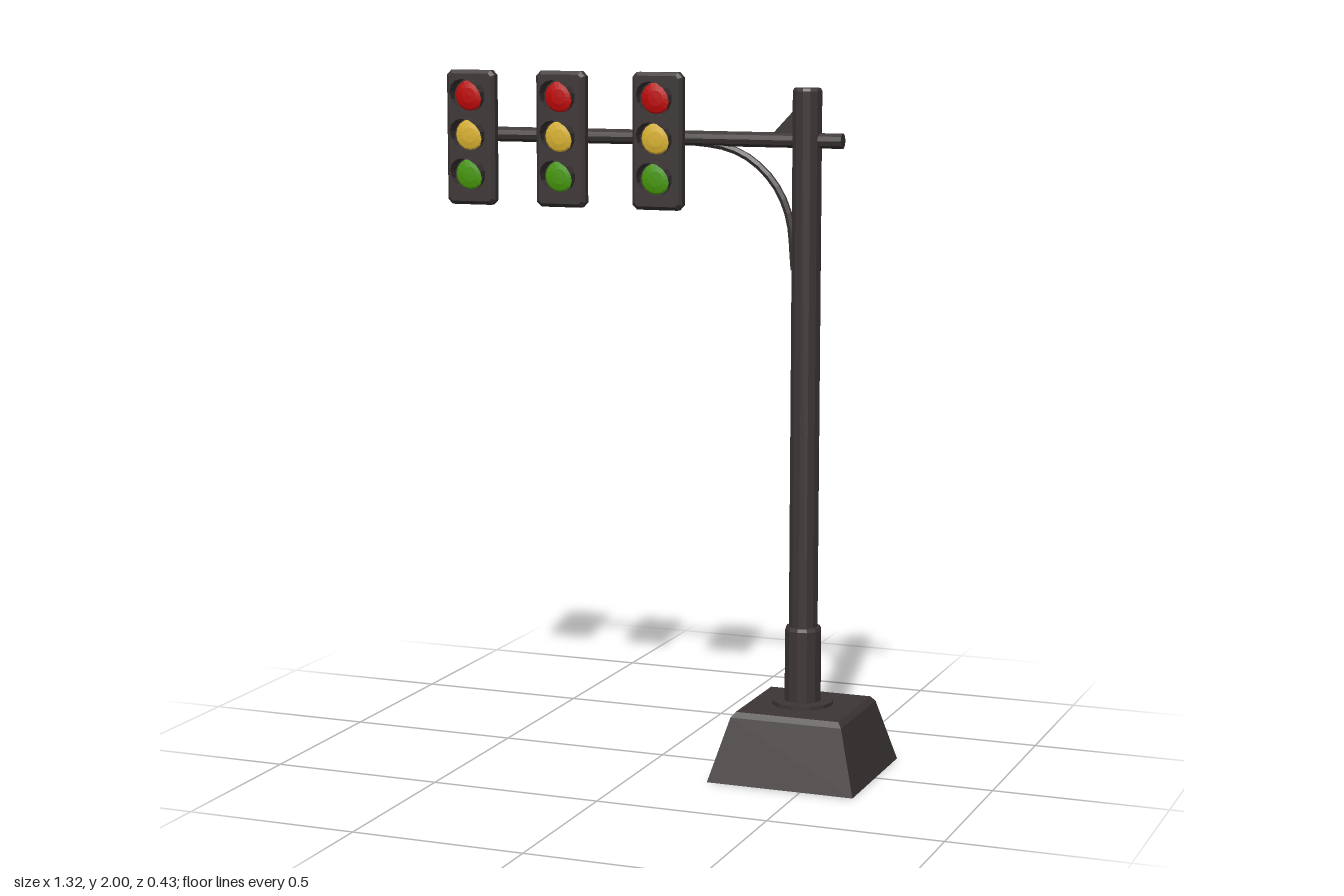
import * as THREE from 'three';

export function createModel() {
  const model = new THREE.Group();
  model.name = 'trafficLight';

  const mat = (name, color, extra = {}) => {
    const m = new THREE.MeshStandardMaterial({ color, flatShading: true, ...extra });
    m.name = name;
    return m;
  };
  const dark = mat('dark metal', 0x3d3636, { side: THREE.DoubleSide });
  const lampColours = [
    ['red', mat('red lens', 0xc00808)],
    ['yellow', mat('yellow lens', 0xdcb432)],
    ['green', mat('green lens', 0x48990c)],
  ];

  const add = (parent, name, geometry, material, x = 0, y = 0, z = 0) => {
    const mesh = new THREE.Mesh(geometry, material);
    mesh.name = name;
    mesh.position.set(x, y, z);
    parent.add(mesh);
    return mesh;
  };
  const lathe = (points, sides) =>
    new THREE.LatheGeometry(points.map(([r, y]) => new THREE.Vector2(r, y)), sides);

  const poleX = 0.43, poleZ = -0.012, beamY = 1.814;

  // Square tapered footing with a bevelled top edge
  const d = Math.SQRT2;
  const footing = lathe([[0, 0], [0.217 * d, 0], [0.165 * d, 0.182], [0.153 * d, 0.197], [0, 0.197]], 4);
  footing.rotateY(Math.PI / 4);
  add(model, 'footing', footing, dark, 0.438, 0, 0);

  // Flange, sleeve and pole
  add(model, 'flange', new THREE.CylinderGeometry(0.09, 0.09, 0.012, 12), dark, poleX, 0.202, poleZ);
  add(model, 'sleeve', lathe([[0.053, 0.2], [0.053, 0.415], [0.049, 0.425], [0.04, 0.425]], 12),
    dark, poleX, 0, poleZ);
  add(model, 'pole', lathe([[0.042, 0.2], [0.042, 1.952], [0.038, 1.96], [0, 1.96]], 12),
    dark, poleX, 0, poleZ);

  // Horizontal beam
  const beam = new THREE.CylinderGeometry(0.022, 0.022, 1.19, 10);
  beam.rotateZ(Math.PI / 2);
  add(model, 'beam', beam, dark, -0.06, beamY, poleZ);

  // Curved brace under the beam
  const braceCurve = new THREE.CatmullRomCurve3(
    [[0.06, 1.806], [0.19, 1.79], [0.265, 1.757], [0.335, 1.69], [0.378, 1.6], [0.395, 1.45]]
      .map(([x, y]) => new THREE.Vector3(x, y, poleZ)));
  add(model, 'brace', new THREE.TubeGeometry(braceCurve, 14, 0.011, 6), dark);

  // Triangular gusset above the beam
  const gussetShape = new THREE.Shape();
  gussetShape.moveTo(0.325, 1.825);
  gussetShape.lineTo(0.4, 1.825);
  gussetShape.lineTo(0.4, 1.905);
  gussetShape.closePath();
  add(model, 'gusset', new THREE.ExtrudeGeometry(gussetShape, { depth: 0.02, bevelEnabled: false }),
    dark, 0, 0, poleZ - 0.01);

  // Housing: chamfered rectangle with one bevel step front and back
  const w = 0.066, h = 0.185, c = 0.008, bevel = 0.01;
  const housingShape = new THREE.Shape([
    [-w + c, -h], [w - c, -h], [w, -h + c], [w, h - c],
    [w - c, h], [-w + c, h], [-w, h - c], [-w, -h + c],
  ].map(([x, y]) => new THREE.Vector2(x, y)));
  const housing = new THREE.ExtrudeGeometry(housingShape, {
    depth: 0.021, bevelThickness: 0.009, bevelSize: bevel, bevelSegments: 1,
  });
  housing.translate(0, 0, 0.014);

  // Shallow domed lens facing forward
  const lens = lathe([[0.046, 0], [0.04, 0.004], [0.022, 0.008], [0, 0.009]], 16);
  lens.rotateX(Math.PI / 2);

  // Visor: open tube with its front rim cut at a slant, long on top
  const visor = new THREE.CylinderGeometry(0.049, 0.048, 1, 14, 1, true);
  visor.rotateX(Math.PI / 2);
  const p = visor.attributes.position;
  for (let i = 0; i < p.count; i++) {
    const front = p.getZ(i) > 0;
    p.setZ(i, front ? 0.004 + 0.052 * (p.getY(i) / 0.049 + 1) / 2 : -0.003);
  }
  visor.computeVertexNormals();

  // Three signal heads along the beam
  [-0.584, -0.3, -0.002].forEach((x, i) => {
    const head = new THREE.Group();
    head.name = 'signalHead' + (i + 1);
    head.position.set(x, 1.805, 0);
    add(head, 'housing', housing, dark);
    lampColours.forEach(([name, material], k) => {
      const y = 0.122 - k * 0.114;
      add(head, name + 'Lens', lens, material, 0, y, 0.043);
      add(head, name + 'Visor', visor, dark, 0, y, 0.043);
    });
    model.add(head);
  });

  return model;
}
